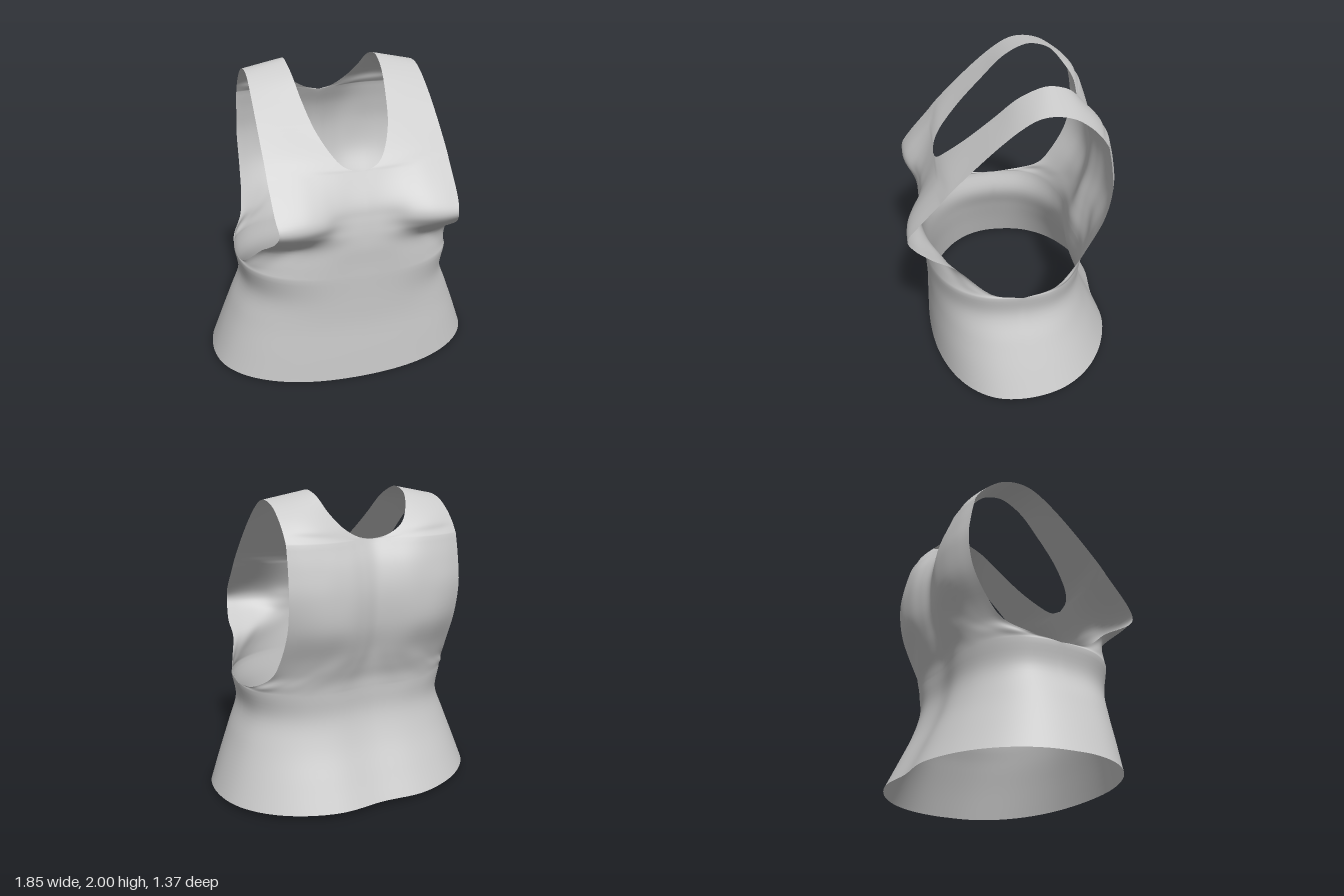
import * as THREE from 'three';
import { mergeGeometries, mergeVertices } from 'three/addons/utils/BufferGeometryUtils.js';

const COLS = 6;
const V = (x, y, z) => new THREE.Vector3(x, y, z);
const lerp = THREE.MathUtils.lerp;

// Neighbour beyond the end of a line: mirrored at the centre line and side seam
function beyond(end, next) {
  if (Math.abs(end.x) < 1e-6 && Math.abs(next.x) > 1e-6) return V(-next.x, next.y, next.z);
  if (Math.abs(end.z) < 1e-6 && Math.abs(next.z) > 0.05) return V(next.x, next.y, -next.z);
  return end.clone().multiplyScalar(2).sub(next);
}

// Smooth curve through the points, with `steps` samples per span
function smoothLine(pts, steps, mirrored) {
  const n = pts.length;
  const extend = (a, b) => (mirrored ? beyond(a, b) : a.clone().multiplyScalar(2).sub(b));
  const p = [extend(pts[0], pts[1]), ...pts, extend(pts[n - 1], pts[n - 2])];
  const out = [];
  for (let i = 1; i < n; i++) {
    for (let s = 0; s < steps; s++) {
      const t = s / steps;
      const c = (k) => {
        const [a, b, d, e] = [p[i - 1][k], p[i][k], p[i + 1][k], p[i + 2][k]];
        return b + 0.5 * t * (d - a + t * (2 * a - 5 * b + 4 * d - e + t * (3 * (b - d) + e - a)));
      };
      out.push(V(c('x'), c('y'), c('z')));
    }
  }
  out.push(pts[n - 1].clone());
  return out;
}

// Surface through rows of points; side = -1 makes the mirrored half
function loft(rows, flip, side) {
  const across = rows.map((r) => smoothLine(r, 5, true));
  const columns = across[0].map((_, j) => smoothLine(across.map((r) => r[j]), 5, false));
  const nv = columns[0].length;
  const pos = [], idx = [];
  columns.forEach((col) => col.forEach((q) => pos.push(q.x * side, q.y, q.z)));
  for (let j = 0; j < columns.length - 1; j++) {
    for (let i = 0; i < nv - 1; i++) {
      const a = j * nv + i, b = a + nv, c = b + 1, d = a + 1;
      if (flip !== side < 0) idx.push(a, c, b, a, d, c);
      else idx.push(a, b, c, a, c, d);
    }
  }
  const g = new THREE.BufferGeometry();
  g.setAttribute('position', new THREE.Float32BufferAttribute(pos, 3));
  g.setIndex(idx);
  return g;
}

// Quarter oval from the centre line to the side seam, with a spine groove
function ovalRow([yCentre, ySide, width, depth, n], dir, groove) {
  return Array.from({ length: COLS + 1 }, (_, i) => {
    const a = (i / COLS) * Math.PI / 2;
    const x = i === 0 ? 0 : width * Math.sin(a) ** (2 / n);
    const z = i === COLS ? 0 : depth * Math.cos(a) ** (2 / n) - groove * Math.exp(-((x / 0.2) ** 2));
    return V(x, lerp(yCentre, ySide, (i / COLS) ** 2), i === COLS ? 0 : dir * z);
  });
}

// Panel row: centre height, edge height, edge x, then depths from centre to edge
function panelRow([yCentre, yEdge, xEdge, ...z], r) {
  const k = Math.max(0, 1 - (r + 1) / 3);
  return z.map((d, i) => {
    const f = i / COLS;
    const oval = Math.sin(f * Math.PI / 2) ** 0.8;
    return V(xEdge * lerp(f, oval, k), lerp(yCentre, yEdge, f * f), d);
  });
}

// Strap row: neck edge, armhole edge and outward bulge
function strapRow([xi, yi, zi, xo, yo, zo, bulge]) {
  return Array.from({ length: COLS + 1 }, (_, i) => {
    const f = i / COLS;
    return V(lerp(xi, xo, f), lerp(yi, yo, f), lerp(zi, zo, f) - bulge * Math.sin(f * Math.PI));
  });
}

export function createModel() {
  // Flared lower body, hem to armhole bottom
  const frontLower = [
    [0.0, 0.02, 0.925, 0.592, 2.2], [0.2, 0.21, 0.855, 0.585, 2.25], [0.4, 0.4, 0.78, 0.578, 2.3],
    [0.58, 0.58, 0.71, 0.583, 2.4], [0.75, 0.75, 0.73, 0.592, 2.5],
  ].map((r) => ovalRow(r, 1, 0));
  const backLower = [
    [0.035, 0.02, 0.925, 0.71, 2.2], [0.2, 0.21, 0.855, 0.63, 2.25], [0.4, 0.4, 0.78, 0.54, 2.3],
    [0.58, 0.58, 0.71, 0.49, 2.4], [0.75, 0.75, 0.73, 0.492, 2.5],
  ].map((r) => ovalRow(r, -1, 0.045));

  // Front panel with the bust, up to the neckline
  const chest = [
    [0.85, 0.785, 0.705, 0.595, 0.585, 0.55, 0.49, 0.41, 0.32, 0.2],
    [0.95, 0.94, 0.625, 0.6, 0.595, 0.575, 0.54, 0.49, 0.45, 0.4],
    [1.03, 1.02, 0.61, 0.598, 0.598, 0.597, 0.592, 0.585, 0.57, 0.54],
    [1.09, 1.09, 0.585, 0.593, 0.594, 0.603, 0.63, 0.65, 0.655, 0.645],
    [1.16, 1.16, 0.57, 0.583, 0.585, 0.605, 0.65, 0.678, 0.688, 0.687],
    [1.25, 1.25, 0.582, 0.562, 0.565, 0.585, 0.615, 0.637, 0.64, 0.63],
    [1.42, 1.42, 0.587, 0.48, 0.482, 0.485, 0.49, 0.495, 0.49, 0.48],
  ].map(panelRow);

  // Back panel with shoulder blades
  const back = [
    [0.83, 0.785, 0.705, -0.455, -0.48, -0.47, -0.43, -0.37, -0.3, -0.2],
    [0.92, 0.87, 0.63, -0.48, -0.505, -0.51, -0.49, -0.45, -0.4, -0.34],
    [1.03, 1.0, 0.6, -0.51, -0.535, -0.55, -0.54, -0.52, -0.48, -0.43],
    [1.2, 1.2, 0.587, -0.555, -0.58, -0.605, -0.61, -0.6, -0.57, -0.525],
    [1.4, 1.4, 0.587, -0.565, -0.59, -0.615, -0.62, -0.615, -0.595, -0.56],
    [1.57, 1.57, 0.583, -0.53, -0.555, -0.585, -0.595, -0.59, -0.575, -0.545],
    [1.715, 1.72, 0.58, -0.46, -0.485, -0.52, -0.545, -0.55, -0.54, -0.515],
  ].map(panelRow);

  // Shoulder strap from the front neckline over to the back neckline
  const strap = [
    [0.1, 1.45, 0.465, 0.587, 1.47, 0.44, -0.01],
    [0.17, 1.52, 0.41, 0.587, 1.53, 0.385, -0.01],
    [0.24, 1.65, 0.28, 0.587, 1.65, 0.265, 0],
    [0.28, 1.8, 0.12, 0.585, 1.78, 0.125, 0],
    [0.3, 1.92, -0.01, 0.582, 1.88, 0, 0],
    [0.31, 1.985, -0.13, 0.58, 1.935, -0.1, 0],
    [0.31, 2.0, -0.22, 0.58, 1.947, -0.2, 0],
    [0.3, 1.965, -0.33, 0.58, 1.92, -0.31, 0.01],
    [0.265, 1.88, -0.41, 0.58, 1.86, -0.4, 0.03],
    [0.2, 1.795, -0.47, 0.58, 1.8, -0.46, 0.04],
    [0.1, 1.735, -0.475, 0.58, 1.76, -0.49, 0.045],
  ].map(strapRow);

  const parts = [];
  for (const side of [1, -1]) {
    parts.push(
      loft(frontLower, false, side),
      loft([frontLower.at(-1), ...chest], false, side),
      loft(backLower, true, side),
      loft([backLower.at(-1), ...back], true, side),
      loft([chest.at(-1), ...strap, back.at(-1)], false, side),
    );
  }

  // One welded cloth shell so the shading is smooth across all panels
  const shell = mergeVertices(mergeGeometries(parts), 1e-4);
  shell.computeVertexNormals();
  const top = new THREE.Mesh(
    shell,
    new THREE.MeshStandardMaterial({ color: 0xcccccc, side: THREE.DoubleSide }),
  );
  top.name = 'sleevelessTop';

  const group = new THREE.Group();
  group.name = 'garment';
  group.add(top);
  return group;
}
